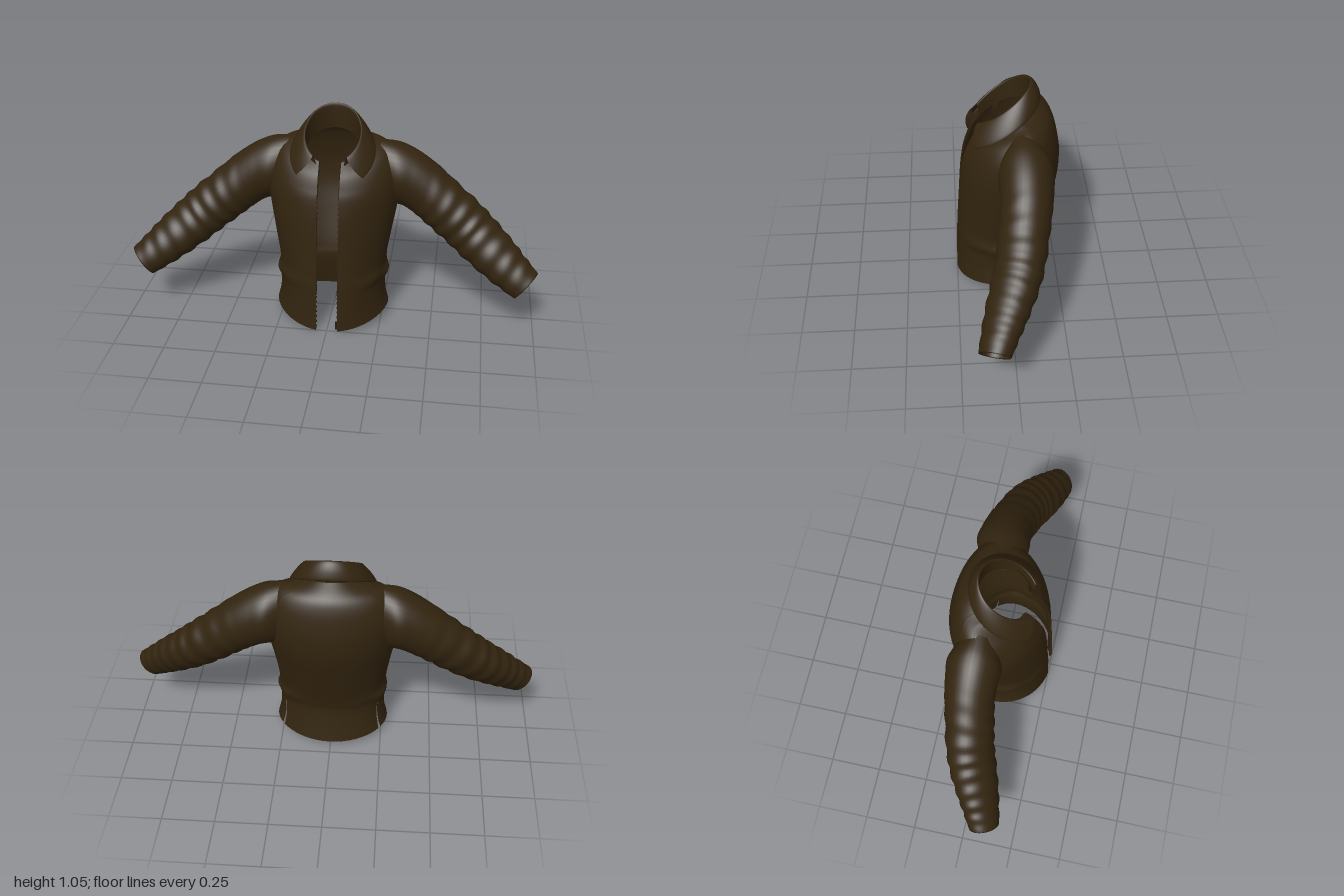
import * as THREE from 'three';

const cloth = new THREE.MeshStandardMaterial({ color: 0x32240f, side: THREE.DoubleSide });
cloth.name = 'brown cloth';
const trim = new THREE.MeshStandardMaterial({ color: 0x261b0b });
trim.name = 'dark trim';

// Smooth interpolation through a table of rows, t in row units
function sample(rows, t) {
  const i = Math.min(Math.floor(t), rows.length - 2), f = t - i;
  const at = k => rows[Math.max(0, Math.min(rows.length - 1, k))];
  const a = at(i - 1), b = at(i), c = at(i + 1), d = at(i + 2);
  return b.map((p, k) => {
    const m0 = (c[k] - a[k]) / 2, m1 = (d[k] - p) / 2, g = c[k] - p;
    return p + f * (m0 + f * (3 * g - 2 * m0 - m1 + f * (m0 + m1 - 2 * g)));
  });
}

// Surface from rows of cross-section points; wrap closes each row, skip leaves holes
function surface(name, rows, cols, point, { wrap = false, skip = () => false } = {}) {
  const pos = [], index = [], n = wrap ? cols : cols + 1;
  for (let i = 0; i <= rows; i++) for (let j = 0; j < n; j++) pos.push(...point(i, j));
  for (let i = 0; i < rows; i++) for (let j = 0; j < cols; j++) {
    if (skip(i, j)) continue;
    const a = i * n + j, b = i * n + (j + 1) % n, c = a + n, d = b + n;
    index.push(a, c, b, b, c, d);
  }
  const geo = new THREE.BufferGeometry();
  geo.setAttribute('position', new THREE.Float32BufferAttribute(pos, 3));
  geo.setIndex(index);
  geo.computeVertexNormals();
  const mesh = new THREE.Mesh(geo, cloth);
  mesh.name = name;
  return mesh;
}

// Body rings: half width, back z, side z, front z, back y, side y, front y
const BODY = [
  [0.28, -0.195, 0, 0.255, 0.025, 0.055, 0.003],
  [0.265, -0.178, 0, 0.252, 0.11, 0.12, 0.1],
  [0.262, -0.166, 0, 0.249, 0.2, 0.2, 0.2],
  [0.276, -0.172, 0, 0.246, 0.25, 0.25, 0.25],
  [0.265, -0.185, 0, 0.242, 0.31, 0.31, 0.31],
  [0.285, -0.22, -0.01, 0.232, 0.45, 0.45, 0.45],
  [0.308, -0.25, -0.03, 0.222, 0.58, 0.58, 0.58],
  [0.322, -0.256, -0.05, 0.207, 0.69, 0.69, 0.68],
  [0.31, -0.248, -0.065, 0.19, 0.76, 0.8, 0.73],
  [0.265, -0.23, -0.075, 0.172, 0.84, 0.88, 0.775],
  [0.19, -0.2, -0.085, 0.152, 0.9, 0.912, 0.81],
  [0.132, -0.135, -0.02, 0.13, 0.95, 0.92, 0.84],
];
const SUB = 5, BODY_ROWS = (BODY.length - 1) * SUB;
const GAP = 0.052, BACK = 9, FRONT = 18, HALF = BACK + 1 + FRONT;
const SLIT = 1.06, SLIT_ROWS = 2 * SUB;

// phi runs from the centre back (0) to the centre front (pi)
function bodyPoint(t, phi) {
  const [hw, zb, zc, zf, yb, ys, yf] = sample(BODY, t);
  const c = Math.cos(phi), k = Math.abs(c) ** (t > 7 ? 1.3 : 2);
  const fold = 1 + 0.012 * Math.exp(-(((t - 3) / 1.2) ** 2)) * Math.sin(9 * phi + 2 * t);
  return [
    hw * Math.sin(phi) * fold,
    ys + ((c > 0 ? yb : yf) - ys) * k,
    zc + (c > 0 ? (zb - zc) * c : (zc - zf) * c),
  ];
}
const edgePhi = t => Math.PI - Math.asin(GAP / sample(BODY, t)[0]);

function makeBody() {
  return surface('body', BODY_ROWS, 2 * HALF, (i, j) => {
    const t = i / SUB, m = Math.abs(j - HALF);
    const open = 0.004 + 0.03 * Math.max(0, 1 - i / SLIT_ROWS);
    const phi = m <= BACK ? (SLIT - open) * m / BACK
      : SLIT + open + (edgePhi(t) - SLIT - open) * (m - BACK - 1) / FRONT;
    return bodyPoint(t, Math.sign(j - HALF) * phi);
  }, {
    // side slits rising from the hem
    skip: (i, j) => i < SLIT_ROWS && (j === HALF + BACK || j === HALF - BACK - 1),
  });
}

// Turned-in edge of the front opening
function makeFacing() {
  const turn = [[0, 0], [0.001, -0.012], [0.035, -0.03]];
  return surface('frontFacing', BODY_ROWS, 2, (i, j) => {
    const [x, y, z] = bodyPoint(i / SUB, edgePhi(i / SUB));
    return [x + turn[j][0], y, z + turn[j][1]];
  });
}

// Sleeve rings: top x, top y, bottom x, bottom y, centre z, half depth, tilt
const SLEEVE = [
  [0.22, 0.9, 0.25, 0.57, -0.07, 0.1, 0],
  [0.31, 0.885, 0.305, 0.575, -0.075, 0.128, 0],
  [0.4, 0.845, 0.34, 0.565, -0.075, 0.124, 0],
  [0.5, 0.775, 0.39, 0.535, -0.068, 0.118, 0.05],
  [0.6, 0.69, 0.465, 0.48, -0.05, 0.115, 0.1],
  [0.7, 0.605, 0.56, 0.41, -0.028, 0.11, 0.2],
  [0.78, 0.53, 0.645, 0.348, 0.002, 0.105, 0.3],
  [0.87, 0.445, 0.735, 0.287, 0.042, 0.095, 0.3],
  [0.94, 0.373, 0.82, 0.235, 0.077, 0.082, 0.3],
  [0.997, 0.317, 0.9, 0.19, 0.105, 0.07, 0.3],
  [0.95, 0.345, 0.865, 0.23, 0.085, 0.064, 0.3],
];

function makeSleeve() {
  const sub = 10, cuff = (SLEEVE.length - 2) * sub;
  return surface('sleeve', cuff + sub, 36, (i, j) => {
    // the last interval is the lining folded back inside the cuff
    const t = i / sub, a = j / 36 * Math.PI * 2;
    const [tx, ty, bx, by, zc, rz, tilt] = i <= cuff
      ? sample(SLEEVE.slice(0, -1), t)
      : SLEEVE[SLEEVE.length - 2].map((v, k) => v + (SLEEVE.at(-1)[k] - v) * (i - cuff) / sub);
    // crumpled rings from the elbow down
    const amount = 0.032 * Math.max(0, Math.min(1, (t - 2.6) / 1.8, (8.9 - t) / 0.8));
    const r = 1 + amount * Math.sin(t * 8.5 + 1.3 * Math.sin(a + t) + 0.6 * Math.cos(2 * a));
    const c = Math.cos(a) * r, s = Math.sin(a) * r * rz;
    return [
      (tx + bx) / 2 + c * (tx - bx) / 2 - s * tilt,
      (ty + by) / 2 + c * (ty - by) / 2,
      zc + s,
    ];
  }, { wrap: true });
}

// Collar rings, stand to fold to fall: half width, centre z, depth, height, slope, end angle
const COLLAR = [
  [0.126, 0.012, 0.128, 0.88, 0.45, 2.62],
  [0.128, 0.018, 0.13, 0.94, 0.6, 2.56],
  [0.131, 0.022, 0.134, 0.975, 0.7, 2.5],
  [0.145, 0.024, 0.15, 0.968, 0.68, 2.5],
  [0.176, 0.026, 0.174, 0.93, 0.63, 2.42],
  [0.203, 0.028, 0.19, 0.885, 0.61, 2.28],
  [0.194, 0.026, 0.182, 0.878, 0.61, 2.26],
];

function makeCollar() {
  const sub = 4, half = 28;
  return surface('collar', (COLLAR.length - 1) * sub, half * 2, (i, j) => {
    const [hx, zc, rz, h, slope, end] = sample(COLLAR, i / sub);
    const phi = end * (j - half) / half;
    const z = zc - rz * Math.cos(phi);
    return [hx * Math.sin(phi), h - slope * z, z];
  });
}

// Zip teeth along one front edge
function makeZip() {
  const zip = new THREE.Group();
  zip.name = 'zip';
  const tooth = new THREE.BoxGeometry(0.005, 0.008, 0.006);
  for (let i = 0; i < 42; i++) {
    const t = 0.3 + i / 41 * 10.4;
    const [x, y, z] = bodyPoint(t, edgePhi(t));
    const mesh = new THREE.Mesh(tooth, trim);
    mesh.name = 'zipTooth';
    mesh.position.set(x - 0.001, y, z - 0.008);
    zip.add(mesh);
  }
  return zip;
}

export function createModel() {
  const jacket = new THREE.Group();
  jacket.name = 'jacket';
  jacket.add(makeBody(), makeCollar());
  for (const [side, sign] of [['left', 1], ['right', -1]]) {
    const half = new THREE.Group();
    half.name = side + 'Side';
    half.add(makeSleeve(), makeFacing(), makeZip());
    half.scale.x = sign;
    jacket.add(half);
  }
  // Zip slider at the foot of the left front edge
  const slider = new THREE.Mesh(new THREE.BoxGeometry(0.014, 0.04, 0.012), trim);
  slider.name = 'zipSlider';
  slider.position.set(0.049, 0.035, 0.242);
  jacket.add(slider);
  return jacket;
}
